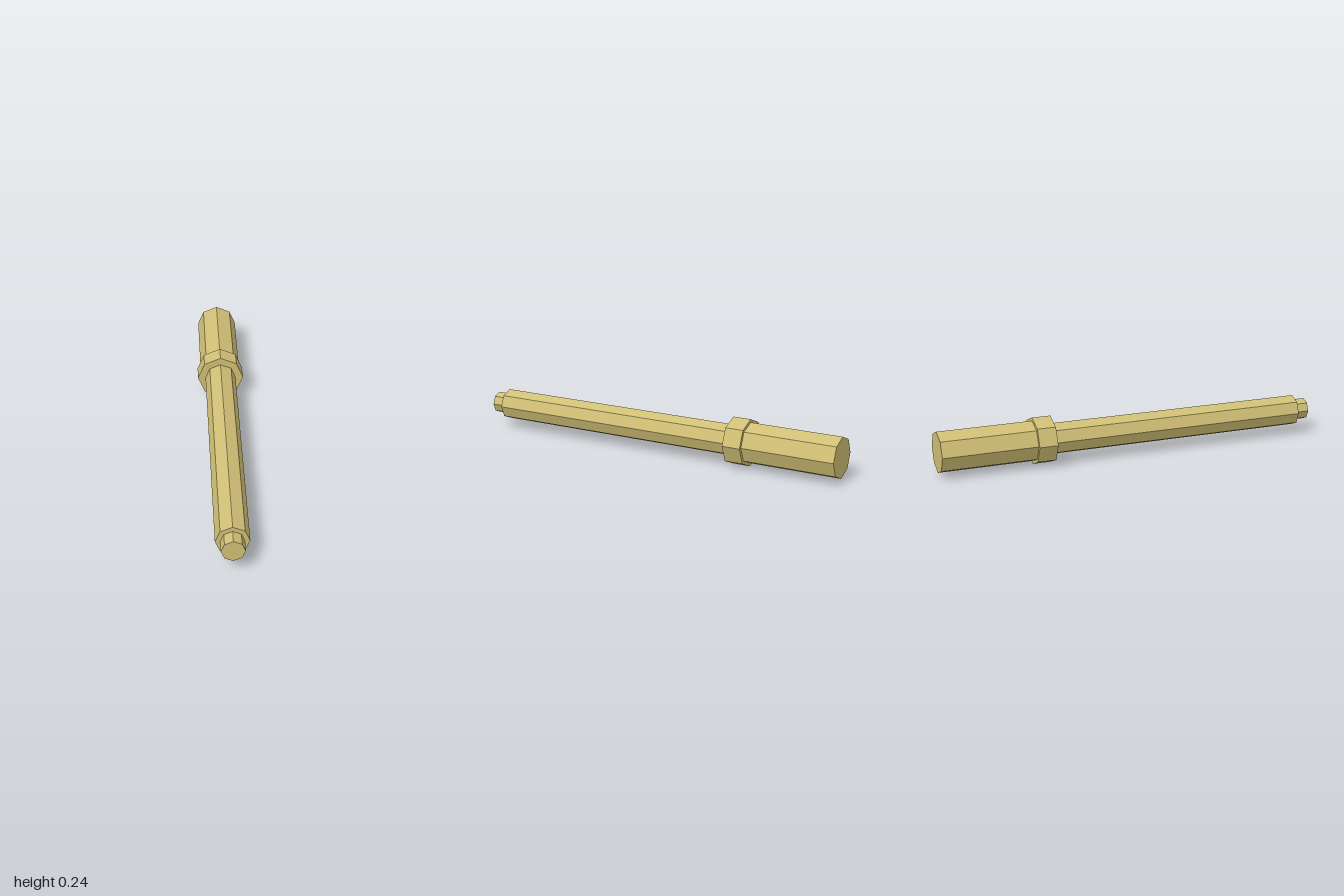
import * as THREE from 'three';

export function createModel() {
  const model = new THREE.Group();
  model.name = 'steppedRod';

  const brass = new THREE.MeshStandardMaterial({ color: 0xd0bf75, flatShading: true });
  brass.name = 'brass';

  const axisHeight = 0.12;

  // Octagonal section along z, with a ridge at the top
  function addSection(name, radius, zBack, zFront) {
    const geometry = new THREE.CylinderGeometry(radius, radius, zFront - zBack, 8);
    geometry.rotateX(Math.PI / 2);
    const mesh = new THREE.Mesh(geometry, brass);
    mesh.name = name;
    mesh.position.set(0, axisHeight, (zBack + zFront) / 2);
    model.add(mesh);
  }

  addSection('grip', 0.104, -1, -0.52);
  addSection('collar', 0.12, -0.52, -0.425);
  addSection('shaft', 0.08, -0.425, 0.93);
  addSection('tip', 0.056, 0.93, 1);

  return model;
}
